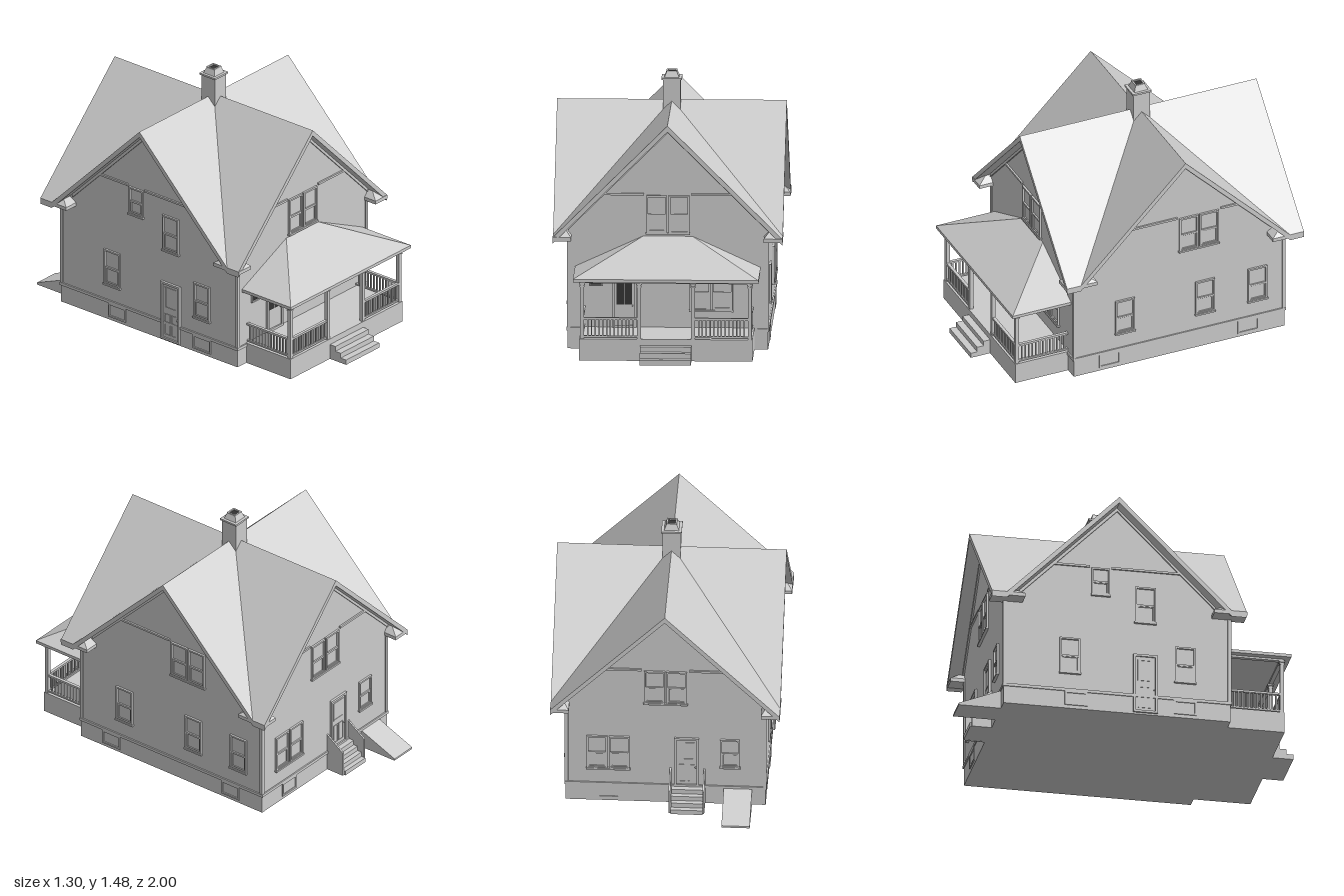
import * as THREE from 'three';

const grey = new THREE.MeshStandardMaterial({ color: 0xcccccc, flatShading: true });
const dark = new THREE.MeshStandardMaterial({ color: 0x333333, flatShading: true });

function add(parent, name, geometry, material = grey) {
  const mesh = new THREE.Mesh(geometry, material);
  mesh.name = name;
  parent.add(mesh);
  return mesh;
}

// Box given by its limits on each axis
function box(parent, name, x0, x1, y0, y1, z0, z1, material) {
  const g = new THREE.BoxGeometry(x1 - x0, y1 - y0, z1 - z0);
  g.translate((x0 + x1) / 2, (y0 + y1) / 2, (z0 + z1) / 2);
  return add(parent, name, g, material);
}

// Solid with a rectangular base and a different rectangular top: [x0, x1, z0, z1]
function frustum(parent, name, base, top, y0, y1) {
  const g = new THREE.BoxGeometry(1, 1, 1);
  const p = g.attributes.position;
  for (let i = 0; i < p.count; i++) {
    const r = p.getY(i) > 0 ? top : base;
    p.setXYZ(i, p.getX(i) < 0 ? r[0] : r[1], p.getY(i) > 0 ? y1 : y0, p.getZ(i) < 0 ? r[2] : r[3]);
  }
  g.computeVertexNormals();
  return add(parent, name, g);
}

const polygon = (pts) => new THREE.Shape(pts.map(([x, y]) => new THREE.Vector2(x, y)));
const extrude = (shape, depth) => new THREE.ExtrudeGeometry(shape, { depth, bevelEnabled: false });

// Rectangular frame with an open middle
function ring(parent, name, x0, x1, y0, y1, t, depth) {
  const s = polygon([[x0, y0], [x1, y0], [x1, y1], [x0, y1]]);
  s.holes.push(polygon([[x0 + t, y0 + t], [x0 + t, y1 - t], [x1 - t, y1 - t], [x1 - t, y0 + t]]));
  return add(parent, name, extrude(s, depth));
}

// Double-hung window: casing, sill, meeting rail and lower sash
function sashWindow(wall, x0, x1, y0, y1) {
  const g = new THREE.Group();
  g.name = 'window';
  const mid = y0 + (y1 - y0) * 0.48;
  ring(g, 'casing', x0, x1, y0, y1, 0.01, 0.012);
  ring(g, 'lowerSash', x0 + 0.009, x1 - 0.009, y0 + 0.008, mid, 0.008, 0.006);
  box(g, 'meetingRail', x0 + 0.009, x1 - 0.009, mid - 0.004, mid + 0.006, 0, 0.009);
  box(g, 'sill', x0 - 0.004, x1 + 0.004, y0 - 0.007, y0 + 0.003, 0, 0.016);
  wall.add(g);
}

function windowPair(wall, x, y0, y1) {
  sashWindow(wall, x - 0.122, x - 0.004, y0, y1);
  sashWindow(wall, x + 0.004, x + 0.122, y0, y1);
}

function door(wall, x0, x1, y0, y1, glass) {
  const g = new THREE.Group();
  g.name = 'door';
  const w = x1 - x0, h = y1 - y0, m = (x0 + x1) / 2;
  ring(g, 'doorCasing', x0, x1, y0, y1, 0.013, 0.014);
  box(g, 'doorLeaf', x0 + 0.012, x1 - 0.012, y0 + 0.004, y1 - 0.012, 0, 0.005);
  for (const s of [-1, 1]) {
    const c = m + s * w * 0.17;
    if (glass) box(g, 'doorPane', c - 0.021, c + 0.021, y0 + h * 0.42, y1 - 0.02, 0.002, 0.007, dark);
    else ring(g, 'doorPanel', c - 0.02, c + 0.02, y0 + 0.03, y0 + h * 0.45, 0.005, 0.008);
  }
  if (!glass) ring(g, 'doorLight', x0 + 0.026, x1 - 0.026, y0 + h * 0.55, y1 - 0.03, 0.007, 0.008);
  const knob = add(g, 'doorKnob', new THREE.SphereGeometry(0.005, 8, 6));
  knob.position.set(x1 - 0.02, y0 + h * 0.4, 0.01);
  wall.add(g);
}

// Row of balusters between two rails, running along local x
function railing(parent, length, n) {
  const g = new THREE.Group();
  g.name = 'porchRailing';
  box(g, 'topRail', 0, length, 0.235, 0.247, -0.009, 0.009);
  box(g, 'bottomRail', 0, length, 0.132, 0.142, -0.007, 0.007);
  for (let i = 1; i < n; i++) {
    const x = (i * length) / n;
    box(g, 'baluster', x - 0.004, x + 0.004, 0.14, 0.237, -0.004, 0.004);
  }
  parent.add(g);
  return g;
}

const RIDGE = 1.305, ZC = -0.1025, HX = 0.565, HZ = 0.6525;

// One roof slope: plan outline lifted to a 45 degree pitch
function roofSlope(parent, side, reach) {
  const plan = [[0, 0], [0, -reach], [side * 0.65, -reach], [side * 0.65, -0.65]];
  if (reach === 0.65) plan.pop();
  const g = extrude(polygon(plan), 0.035);
  const p = g.attributes.position;
  for (let i = 0; i < p.count; i++) {
    const x = p.getX(i), y = p.getY(i), d = p.getZ(i);
    p.setXYZ(i, x, RIDGE - Math.abs(x) - 0.035 + d, -y);
  }
  g.computeVertexNormals();
  add(parent, 'roofSlope', g);
}

// Gable-ended wall block
function gableBlock(parent, half, depth) {
  const top = RIDGE - 0.03;
  const g = extrude(polygon([[-half, 0.1], [half, 0.1], [half, top - half], [0, top], [-half, top - half]]), depth);
  g.translate(0, 0, -depth / 2);
  return add(parent, 'gableWalls', g);
}

// Group in the plane of one wall: local x along it, local z outward
function wallGroup(parent, name, x, z, angle) {
  const g = new THREE.Group();
  g.name = name;
  g.position.set(x, 0, z);
  g.rotation.y = angle;
  parent.add(g);
  return g;
}

// Gable band on both sides of the upper windows, and boards under the rakes
function gableTrim(wall, centre, gap0, gap1) {
  box(wall, 'gableBand', centre - 0.385, gap0, 0.888, 0.9, 0, 0.01);
  box(wall, 'gableBand', gap1, centre + 0.385, 0.888, 0.9, 0, 0.01);
  for (const s of [-1, 1]) {
    const t = RIDGE - 0.03;
    const pts = [[0, t], [s * 0.565, t - 0.565], [s * 0.565, t - 0.59], [0, t - 0.025]];
    add(wall, 'rakeBoard', extrude(polygon(pts), 0.01)).position.x = centre;
  }
}

export function createModel() {
  const house = new THREE.Group();
  house.name = 'house';

  // Foundation, walls and trim
  box(house, 'foundation', -0.567, 0.567, 0, 0.11, -0.757, 0.552);
  box(house, 'waterTable', -0.573, 0.573, 0.105, 0.122, -0.763, 0.558);
  gableBlock(house, HX, HZ * 2).position.z = ZC;
  const cross = gableBlock(house, HZ, HX * 2);
  cross.rotation.y = Math.PI / 2;
  cross.position.z = ZC;

  // Corner boards and boxed eave returns
  for (const sx of [-1, 1]) for (const sz of [-1, 1]) {
    const corner = new THREE.Group();
    corner.name = 'corner';
    const bx = sx * 0.561, bz = ZC + sz * 0.6485;
    box(corner, 'cornerBoard', bx - 0.01, bx + 0.01, 0.11, 0.64, bz - 0.01, bz + 0.01);
    const span = (a, b, s, c) => [c + s * a, c + s * b].sort((m, n) => m - n);
    const base = [...span(0.545, 0.65, sx, 0), ...span(0.545, 0.735, sz, ZC)];
    const top = [...span(0.58, 0.605, sx, 0), ...span(0.61, 0.68, sz, ZC)];
    box(corner, 'eaveReturn', base[0], base[1], 0.635, 0.656, base[2], base[3]);
    frustum(corner, 'eaveReturnCap', base, top, 0.656, 0.695);
    house.add(corner);
  }

  // Cross-gable roof
  for (let i = 0; i < 4; i++) {
    const gable = wallGroup(house, 'roofGable', 0, -0.105, (i * Math.PI) / 2);
    for (const s of [-1, 1]) roofSlope(gable, s, i % 2 ? 0.65 : 0.735);
  }

  // Chimney with a tapered open pot
  const cz = -0.105;
  box(house, 'chimney', -0.05, 0.05, 1.15, 1.43, cz - 0.05, cz + 0.05);
  box(house, 'chimneyCap', -0.058, 0.058, 1.427, 1.438, cz - 0.058, cz + 0.058);
  frustum(house, 'chimneyPot', [-0.042, 0.042, cz - 0.042, cz + 0.042], [-0.03, 0.03, cz - 0.03, cz + 0.03], 1.438, 1.468);
  const rim = ring(house, 'chimneyRim', -0.03, 0.03, -0.03, 0.03, 0.009, 0.01);
  rim.rotation.x = -Math.PI / 2;
  rim.position.set(0, 1.466, cz);
  box(house, 'flue', -0.021, 0.021, 1.46, 1.469, cz - 0.021, cz + 0.021, dark);

  // Openings on each wall
  const front = wallGroup(house, 'frontWall', 0, 0.55, 0);
  gableTrim(front, 0, -0.135, 0.135);
  windowPair(front, 0, 0.67, 0.888);
  windowPair(front, 0.245, 0.225, 0.437);
  door(front, -0.315, -0.178, 0.125, 0.437, true);
  ring(front, 'smallWindow', -0.447, -0.368, 0.362, 0.438, 0.008, 0.012);
  box(front, 'smallPane', -0.439, -0.376, 0.37, 0.43, 0, 0.004, dark);

  const left = wallGroup(house, 'leftWall', HX, 0, Math.PI / 2);
  gableTrim(left, 0.1025, 0.09, 0.36);
  windowPair(left, 0.223, 0.67, 0.888);
  for (const u of [-0.235, 0.262, 0.588]) sashWindow(left, u - 0.059, u + 0.059, 0.22, 0.437);
  for (const u of [-0.33, 0.53]) ring(left, 'basementWindow', u - 0.065, u + 0.065, 0.02, 0.105, 0.01, 0.008);

  const back = wallGroup(house, 'backWall', 0, -0.755, Math.PI);
  gableTrim(back, 0, -0.135, 0.135);
  windowPair(back, 0, 0.67, 0.888);
  windowPair(back, -0.325, 0.22, 0.437);
  sashWindow(back, 0.31, 0.42, 0.25, 0.437);
  door(back, 0.05, 0.19, 0.115, 0.44, false);
  ring(back, 'basementWindow', -0.385, -0.26, 0.02, 0.105, 0.01, 0.008);

  const right = wallGroup(house, 'rightWall', -HX, 0, -Math.PI / 2);
  gableTrim(right, -0.1025, -0.26, -0.135);
  sashWindow(right, -0.25, -0.145, 0.72, 0.888);
  sashWindow(right, 0.0, 0.12, 0.57, 0.79);
  for (const u of [-0.375, 0.29]) sashWindow(right, u - 0.059, u + 0.059, 0.22, 0.437);
  door(right, -0.01, 0.13, 0.01, 0.37, false);
  for (const u of [-0.34, 0.29]) ring(right, 'basementWindow', u - 0.065, u + 0.065, 0.02, 0.105, 0.01, 0.008);

  // Front porch: deck, steps, posts, railings and hipped roof
  const porch = new THREE.Group();
  porch.name = 'porch';
  box(porch, 'porchDeck', -0.49, 0.49, 0, 0.125, 0.55, 0.88);
  for (let i = 0; i < 3; i++) box(porch, 'porchStep', -0.145, 0.145, 0, 0.03 * (i + 1), 0.87, 1 - 0.04 * i);
  for (const x of [-0.475, -0.153, 0.153, 0.475]) {
    box(porch, 'porchPost', x - 0.011, x + 0.011, 0.125, 0.455, 0.854, 0.876);
    box(porch, 'postCapital', x - 0.017, x + 0.017, 0.438, 0.448, 0.848, 0.882);
    box(porch, 'postCollar', x - 0.014, x + 0.014, 0.424, 0.43, 0.851, 0.879);
  }
  for (const s of [-1, 1]) {
    railing(porch, 0.3, 14).position.set(s > 0 ? 0.164 : -0.464, 0, 0.865);
    const side = railing(porch, 0.305, 14);
    side.rotation.y = Math.PI / 2;
    side.position.set(s * 0.475, 0, 0.855);
    box(porch, 'porchBeam', s * 0.475 - 0.012, s * 0.475 + 0.012, 0.446, 0.46, 0.55, 0.877);
  }
  box(porch, 'porchBeam', -0.487, 0.487, 0.446, 0.46, 0.853, 0.877);
  box(porch, 'porchEave', -0.525, 0.525, 0.457, 0.475, 0.55, 0.912);
  frustum(porch, 'porchRoof', [-0.525, 0.525, 0.54, 0.912], [-0.14, 0.14, 0.54, 0.552], 0.475, 0.652);
  house.add(porch);

  // Back steps with solid sloping side rails
  for (let i = 0; i < 4; i++) box(house, 'backStep', -0.215, -0.035, 0, 0.028 * (i + 1), -0.88 + i * 0.028, -0.75);
  for (const x of [-0.225, -0.033]) {
    const g = extrude(polygon([[0.75, 0], [0.87, 0], [0.87, 0.15], [0.75, 0.235]]), 0.01);
    g.rotateY(Math.PI / 2);
    add(house, 'stepSideRail', g).position.x = x;
  }

  // Sloping cellar hatch
  const hatch = extrude(polygon([[0.75, 0], [1, 0], [1, 0.012], [0.75, 0.112]]), 0.16);
  hatch.rotateY(Math.PI / 2);
  add(house, 'cellarHatch', hatch).position.x = -0.49;

  return house;
}
